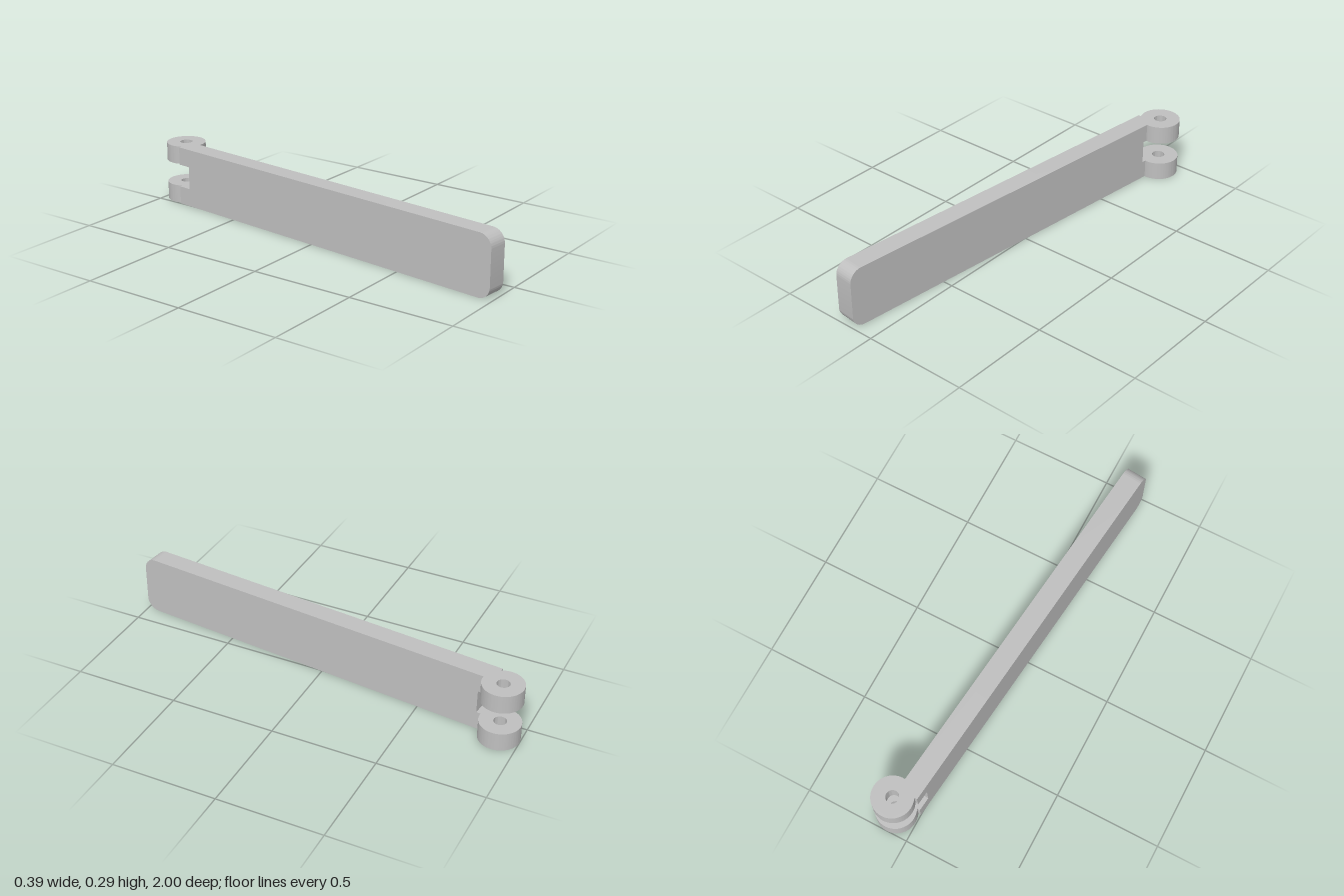
import * as THREE from 'three';
import { toCreasedNormals } from 'three/addons/utils/BufferGeometryUtils.js';

const HEIGHT = 0.288, THICK = 0.095, LENGTH = 1.9155;
const LUG_H = 0.088, LUG_R = 0.095, HOLE_R = 0.03;

function extrude(shape, depth) {
  return new THREE.ExtrudeGeometry(shape, { depth, bevelEnabled: false, curveSegments: 48 });
}

// Side outline of the flat bar: notched at the hinge end, rounded at the free end
function barGeometry() {
  const start = 0.05, notch = 0.1156, r = 0.06;
  const s = new THREE.Shape();
  s.moveTo(start, 0);
  s.lineTo(LENGTH - r, 0);
  s.absarc(LENGTH - r, r, r, -Math.PI / 2, 0, false);
  s.lineTo(LENGTH, HEIGHT - r);
  s.absarc(LENGTH - r, HEIGHT - r, r, 0, Math.PI / 2, false);
  s.lineTo(start, HEIGHT);
  s.lineTo(start, HEIGHT - LUG_H);
  s.lineTo(notch, HEIGHT - LUG_H);
  s.lineTo(notch, LUG_H);
  s.lineTo(start, LUG_H);
  s.closePath();
  const g = extrude(s, THICK);
  g.rotateY(-Math.PI / 2);
  return toCreasedNormals(g, 0.5);
}

// Round hinge lug with a pin hole
function lugGeometry() {
  const s = new THREE.Shape();
  s.absarc(0, 0, LUG_R, 0, Math.PI * 2, false);
  const hole = new THREE.Path();
  hole.absarc(0, 0, HOLE_R, 0, Math.PI * 2, true);
  s.holes.push(hole);
  const g = extrude(s, LUG_H);
  g.rotateX(-Math.PI / 2);
  return toCreasedNormals(g, 0.5);
}

export function createModel() {
  const metal = new THREE.MeshStandardMaterial({ color: 0xbfbfbf });
  metal.name = 'light grey metal';

  const model = new THREE.Group();
  model.name = 'hingeArm';

  // Arm group pivots about the pin axis
  const arm = new THREE.Group();
  arm.name = 'arm';
  arm.position.set(0.1, 0, -0.905);
  arm.rotation.y = -THREE.MathUtils.degToRad(6);
  model.add(arm);

  const bar = new THREE.Mesh(barGeometry(), metal);
  bar.name = 'bar';
  arm.add(bar);

  const lug = lugGeometry();
  for (const [name, y] of [['lowerLug', 0], ['upperLug', HEIGHT - LUG_H]]) {
    const mesh = new THREE.Mesh(lug, metal);
    mesh.name = name;
    mesh.position.y = y;
    arm.add(mesh);
  }
  return model;
}
